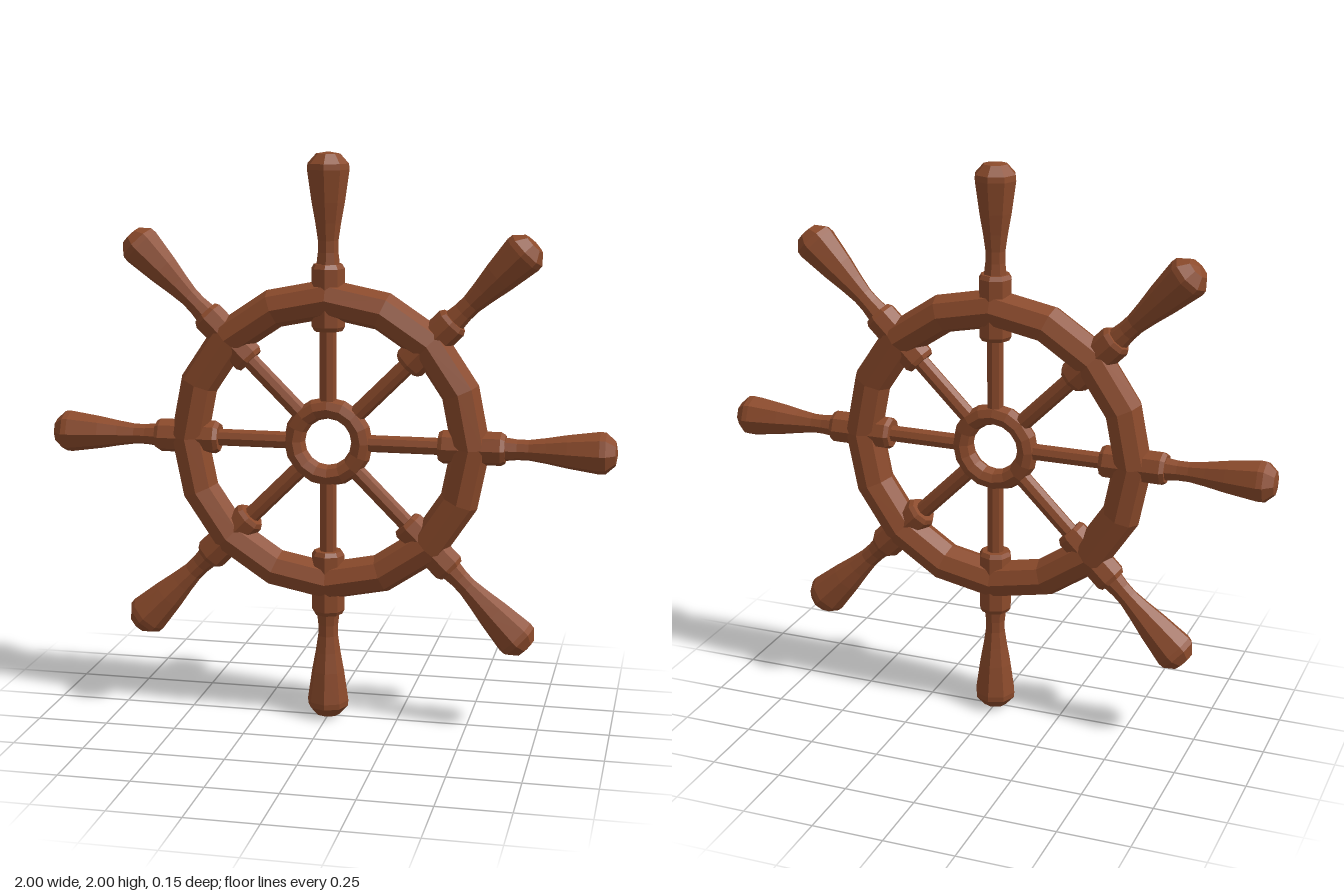
import * as THREE from 'three';

export function createModel() {
  const model = new THREE.Group();
  model.name = 'shipWheel';
  const wood = new THREE.MeshStandardMaterial({ color: 0x8b4a2b, flatShading: true });
  wood.name = 'reddishBrownWood';

  const add = (parent, name, geometry) => {
    const mesh = new THREE.Mesh(geometry, wood);
    mesh.name = name;
    parent.add(mesh);
    return mesh;
  };

  // Eight-sided turned piece from [radius, distance from the hub] pairs
  const turned = (points) =>
    new THREE.LatheGeometry(points.map(([r, y]) => new THREE.Vector2(r, y)), 8);

  const wheel = new THREE.Group();
  wheel.name = 'wheel';
  wheel.position.y = 1;
  model.add(wheel);

  // Faceted rim and open hub ring
  add(wheel, 'rim', new THREE.TorusGeometry(0.5, 0.068, 8, 16)).scale.z = 1.1;
  add(wheel, 'hub', new THREE.TorusGeometry(0.12, 0.038, 8, 16)).scale.z = 1.1;

  const spokeGeometry = turned([[0.03, 0.12], [0.03, 0.41]]);
  const collarGeometry = turned([
    [0, 0.39], [0.05, 0.39], [0.059, 0.405], [0.059, 0.605], [0.05, 0.62], [0, 0.62],
  ]);
  const handleGeometry = turned([
    [0.042, 0.61], [0.036, 0.66], [0.036, 0.70], [0.045, 0.76], [0.058, 0.83],
    [0.074, 0.94], [0.072, 0.96], [0.042, 0.993], [0, 1],
  ]);

  // Eight identical arms around the hub
  for (let i = 0; i < 8; i++) {
    const arm = new THREE.Group();
    arm.name = 'arm' + (i + 1);
    arm.rotation.z = (i * Math.PI) / 4;
    add(arm, 'spoke', spokeGeometry);
    add(arm, 'collar', collarGeometry);
    add(arm, 'handle', handleGeometry);
    wheel.add(arm);
  }
  return model;
}
